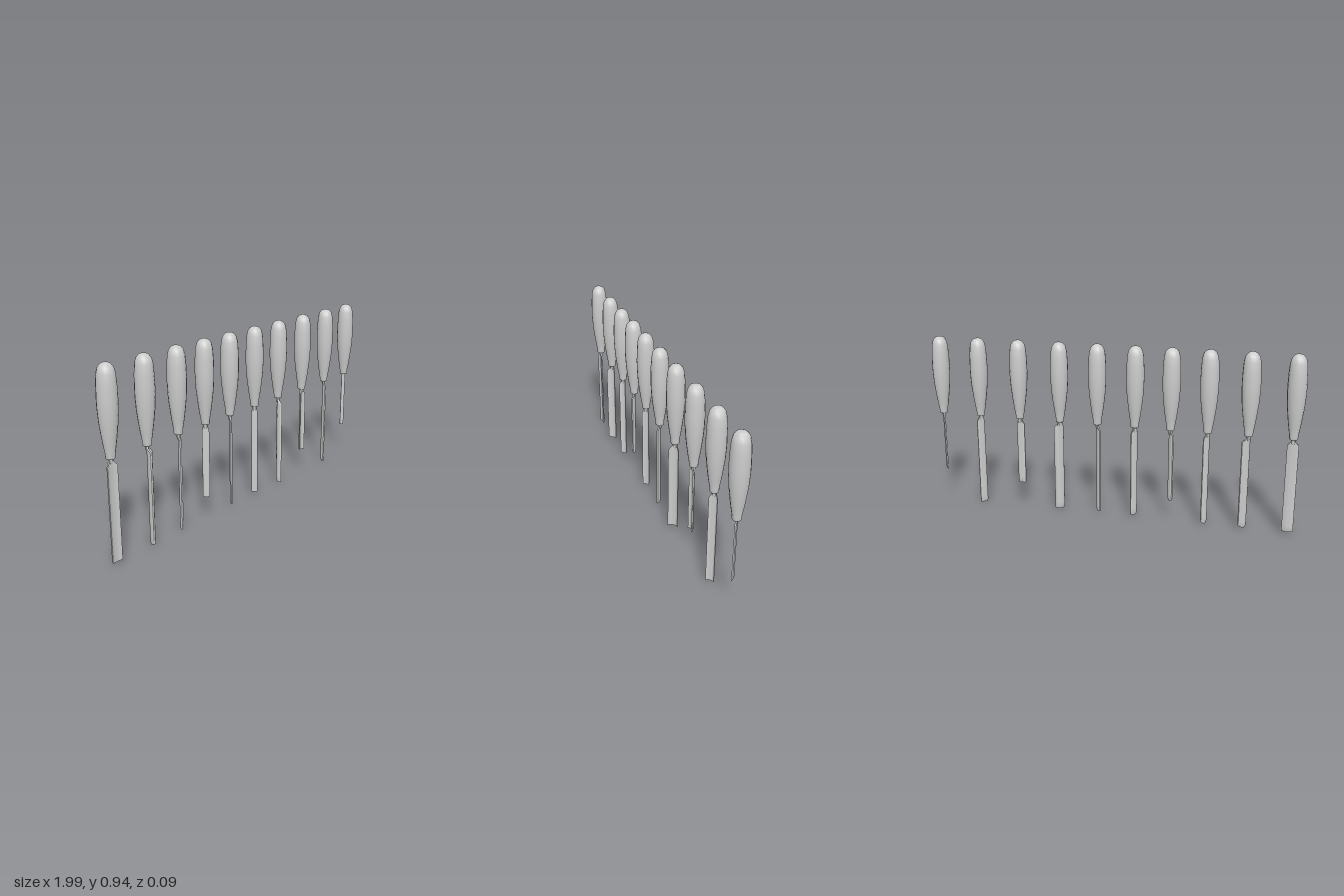
import * as THREE from 'three';
import { toCreasedNormals } from 'three/addons/utils/BufferGeometryUtils.js';

// One entry per tool: x, tip height, blade width, sweep depth, sweep power
// (2 = round, 4 = channel), turn about y in degrees, rounding of the tip corners
const TOOLS = [
  { x: -0.952, tip: 0.013, w: 0.058, sag: 0.008, pow: 2, turn: 0, round: 0.003 },
  { x: -0.733, tip: 0.013, w: 0.05, sag: 0.018, pow: 2, turn: 45, round: 0.012 },
  { x: -0.528, tip: 0.012, w: 0.037, sag: 0.01, pow: 2, turn: 45, round: 0.012 },
  { x: -0.336, tip: 0.12, w: 0.036, sag: 0.006, pow: 2, turn: -45, round: 0.012 },
  { x: -0.147, tip: 0.018, w: 0.038, sag: 0.006, pow: 2, turn: 45, round: 0.004 },
  { x: 0.056, tip: 0.018, w: 0.033, sag: 0.006, pow: 2, turn: -45, round: 0.004 },
  { x: 0.264, tip: 0.012, w: 0.054, sag: 0.017, pow: 4, turn: 45, round: 0.003 },
  { x: 0.493, tip: 0.14, w: 0.043, sag: 0.009, pow: 4, turn: 0, round: 0 },
  { x: 0.723, tip: 0.002, w: 0.042, sag: 0.009, pow: 4, turn: 45, round: 0 },
  { x: 0.947, tip: 0.18, w: 0.021, sag: 0.001, pow: 2, turn: -45, round: 0 },
];

// Swept blade: curved cross-sections from the neck to a bevelled tip
function bladeGeometry({ tip, w, sag, pow, round }) {
  const N = 10, T = 0.007;
  // height, width factor, sweep factor, thickness, amount of tip rounding
  const rings = [
    [0.52, Math.min(1, 0.02 / w), 0, T * 1.4, 0],
    [0.497, Math.min(1, 0.024 / w), 0.15, T * 1.3, 0],
    [0.475, 1, 1, T, 0],
    [tip + 0.035, 1, 1, T, 0],
    [tip + 0.012, 1, 1, T, 0.5],
    [tip, 0.98, 1, 0.0025, 1],
  ];
  const pos = [], idx = [], M = 2 * (N + 1);
  for (const [y, fw, fs, t, fr] of rings) {
    for (let j = 0; j < M; j++) {
      const inner = j <= N;
      const u = ((inner ? j : M - 1 - j) / N) * 2 - 1;
      const a = Math.abs(u);
      const z = fs * sag * a ** pow + (inner ? T / 2 : T / 2 - t);
      pos.push(u * fw * w / 2, y + fr * round * a ** 3, z);
    }
  }
  for (let i = 0; i < rings.length - 1; i++) {
    for (let j = 0; j < M; j++) {
      const k = (j + 1) % M;
      const a = i * M + j, b = i * M + k, c = a + M, d = b + M;
      idx.push(a, c, b, b, c, d);
    }
  }
  // cutting edge
  const o = (rings.length - 1) * M;
  for (let k = 0; k < N; k++) {
    const p = o + k, q = p + 1, r = o + M - 1 - k, s = r - 1;
    idx.push(p, r, s, p, s, q);
  }
  const g = new THREE.BufferGeometry();
  g.setAttribute('position', new THREE.Float32BufferAttribute(pos, 3));
  g.setIndex(idx);
  return toCreasedNormals(g, 0.6);
}

// Turned handle profile with a narrow collar at the bottom
function handleGeometry() {
  const profile = [
    [0, 0.509], [0.019, 0.509], [0.022, 0.513], [0.022, 0.53], [0.029, 0.57],
    [0.036, 0.62], [0.043, 0.68], [0.0465, 0.74], [0.047, 0.78], [0.0455, 0.84],
    [0.042, 0.89], [0.035, 0.917], [0.022, 0.932], [0.01, 0.937], [0, 0.938],
  ].map(([r, y]) => new THREE.Vector2(r, y));
  return toCreasedNormals(new THREE.LatheGeometry(profile, 16), 0.7);
}

export function createModel() {
  const model = new THREE.Group();
  model.name = 'carvingToolSet';
  const material = new THREE.MeshStandardMaterial({ color: 0xcccccc });
  const handleGeo = handleGeometry();
  const neckGeo = new THREE.CylinderGeometry(0.011, 0.008, 0.03, 12);

  TOOLS.forEach((tool, i) => {
    const group = new THREE.Group();
    group.name = `chisel${i + 1}`;
    group.position.x = tool.x;

    const handle = new THREE.Mesh(handleGeo, material);
    handle.name = 'handle';

    const blade = new THREE.Mesh(bladeGeometry(tool), material);
    blade.name = 'blade';
    blade.rotation.y = THREE.MathUtils.degToRad(tool.turn);
    group.add(handle, blade);

    // round neck on the wider tools
    if (tool.w > 0.03) {
      const neck = new THREE.Mesh(neckGeo, material);
      neck.name = 'neck';
      neck.position.y = 0.501;
      group.add(neck);
    }
    model.add(group);
  });
  return model;
}
